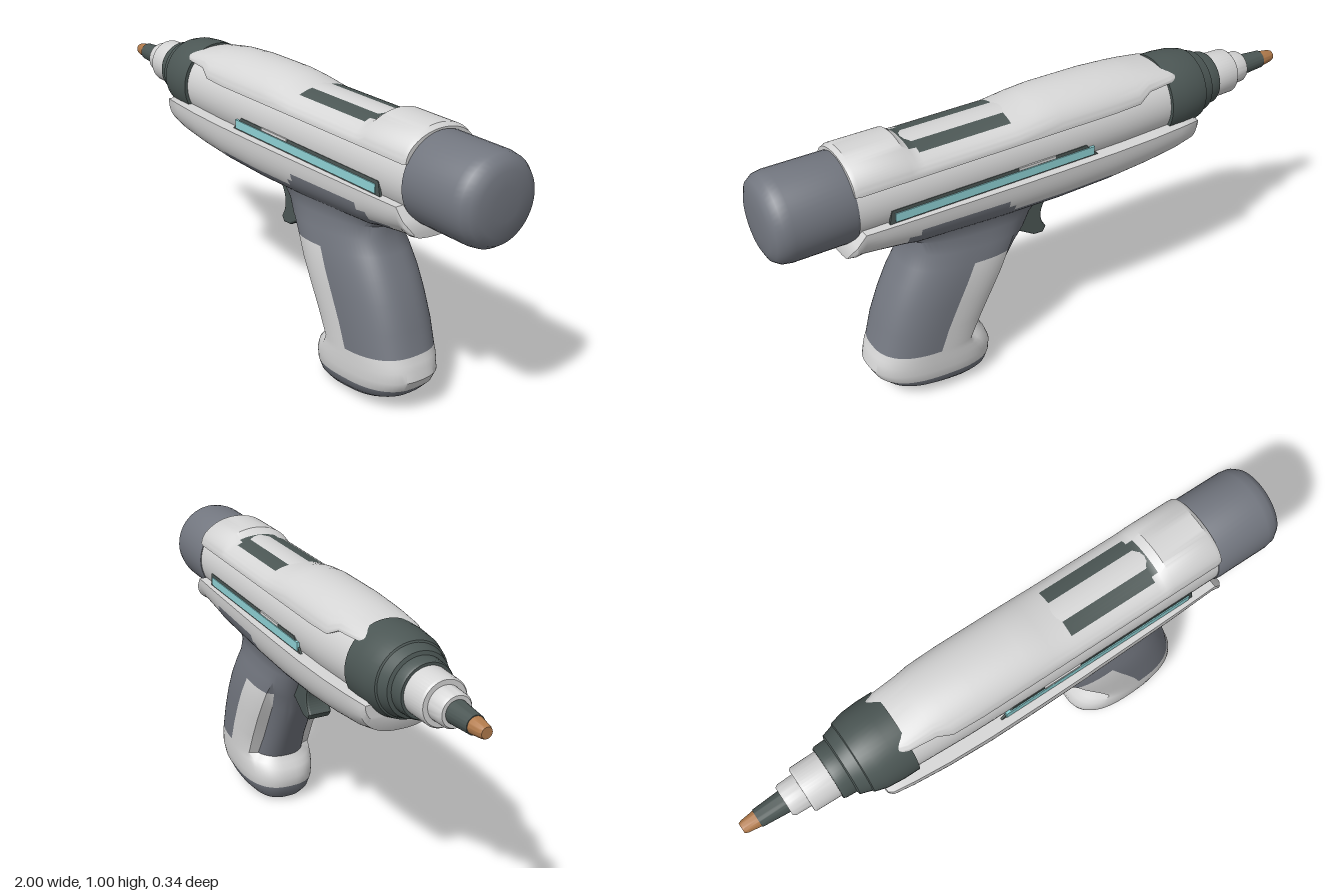
import * as THREE from 'three';
import { toCreasedNormals } from 'three/addons/utils/BufferGeometryUtils.js';

const mat = (name, color) => {
  const m = new THREE.MeshStandardMaterial({ color });
  m.name = name;
  return m;
};
const AXIS = 0.8375; // height of the barrel axis

// Skin a list of closed rings, cap both ends, and pick a material per quad.
function loft(rings, pick = () => 0) {
  const n = rings[0].length;
  const mid = r => {
    const c = r.reduce((a, p) => a.add(p), new THREE.Vector3()).divideScalar(n);
    return r.map(() => c.clone());
  };
  const all = [mid(rings[0]), ...rings, mid(rings[rings.length - 1])];
  const pos = all.flat().flatMap(p => [p.x, p.y, p.z]);
  const lists = [];
  for (let i = 0; i < all.length - 1; i++) {
    const row = Math.min(Math.max(i - 1, 0), rings.length - 2);
    for (let j = 0; j < n; j++) {
      const k = (j + 1) % n, a = i * n + j, b = i * n + k, c = a + n, d = b + n;
      (lists[pick(row, j)] ??= []).push(a, b, d, a, d, c);
    }
  }
  // Signed volume decides which way the corners should run.
  const flat = all.flat();
  let volume = 0;
  for (const l of lists) for (let t = 0; l && t < l.length; t += 3)
    volume += flat[l[t]].dot(flat[l[t + 1]].clone().cross(flat[l[t + 2]]));
  const geo = new THREE.BufferGeometry();
  geo.setAttribute('position', new THREE.Float32BufferAttribute(pos, 3));
  const index = [];
  lists.forEach((l, m) => {
    if (volume < 0) for (let t = 0; t < l.length; t += 3) [l[t], l[t + 1]] = [l[t + 1], l[t]];
    geo.addGroup(index.length, l.length, m);
    index.push(...l);
  });
  geo.setIndex(index);
  return toCreasedNormals(geo, 0.6);
}

// Turn a profile of [x, radius] points about the barrel axis.
function turned(profile) {
  const geo = new THREE.LatheGeometry(profile.map(([x, r]) => new THREE.Vector2(r, x)), 48);
  geo.rotateZ(-Math.PI / 2).translate(0, AXIS, 0);
  return toCreasedNormals(geo, 0.6);
}

const power = (v, e) => Math.sign(v) * Math.abs(v) ** e;

export function createModel() {
  const light = mat('light shell', 0xd6d6d6);
  const gray = mat('blue gray grip', 0x737780);
  const dark = mat('dark green gray', 0x4c5755);
  const copper = mat('copper', 0xb27b4c);
  const cyan = mat('cyan glow', 0x8fd3d6);
  const group = new THREE.Group();
  const add = (name, geo, material) => {
    const mesh = new THREE.Mesh(geo, material);
    mesh.name = name;
    group.add(mesh);
    return mesh;
  };

  // Barrel, from the tip to the rear cap
  add('tip', turned([[-1, 0], [-1, 0.018], [-0.99, 0.022], [-0.94, 0.029], [-0.94, 0]]), copper);
  add('tipHolder', turned([[-0.945, 0], [-0.945, 0.031], [-0.85, 0.038], [-0.85, 0]]), dark);
  add('nozzle', turned([[-0.85, 0], [-0.85, 0.05], [-0.84, 0.056], [-0.787, 0.058], [-0.787, 0.074],
    [-0.78, 0.079], [-0.69, 0.081], [-0.69, 0]]), light);
  add('collar', turned([[-0.692, 0], [-0.692, 0.09], [-0.685, 0.094], [-0.647, 0.096], [-0.643, 0.108],
    [-0.605, 0.12], [-0.602, 0.126], [-0.56, 0.138], [-0.5, 0.143], [-0.445, 0.143], [-0.445, 0]]), dark);
  add('body', turned([[-0.45, 0], [-0.45, 0.131], [-0.25, 0.139], [0, 0.142], [0.73, 0.142], [0.73, 0]]), light);
  add('rearCap', turned([[0.725, 0], [0.725, 0.145], [0.735, 0.148], [0.93, 0.148], [0.96, 0.143],
    [0.982, 0.128], [0.994, 0.1], [0.999, 0.05], [1, 0]]), gray);

  // Top shell: arched sections [x, base height, half width, top], with a dark inset panel
  const shell = [
    [-0.48, 0.935, 0.1, 0.965], [-0.45, 0.933, 0.112, 0.972], [-0.36, 0.93, 0.12, 0.988],
    [-0.31, 0.905, 0.135, 0.996], [-0.2, 0.903, 0.139, 1.003], [0, 0.903, 0.139, 1.003],
    [0.08, 0.903, 0.139, 0.994], [0.165, 0.903, 0.139, 0.977], [0.49, 0.903, 0.139, 0.977],
    [0.515, 0.903, 0.139, 0.98], [0.54, 0.903, 0.139, 1.001], [0.715, 0.903, 0.139, 1.001],
    [0.73, 0.905, 0.136, 0.99],
  ];
  const ARCH = 36;
  add('topShell', loft(shell.map(([x, base, w, top]) =>
    Array.from({ length: ARCH + 1 }, (_, j) => {
      const a = j / ARCH * Math.PI;
      return new THREE.Vector3(x, base + (top - base) * Math.sin(a), w * Math.cos(a));
    })), (i, j) => ((i === 7 && j >= 10 && j < 26) || (i === 8 && j >= 12 && j < 24)) ? 1 : 0), [light, dark]);

  // Cradle under the body: U sections [x, top, bottom, half width, angle of the gray belly]
  const cradle = [
    [-0.565, 0.765, 0.69, 0.135, 0], [-0.55, 0.774, 0.655, 0.148, 0], [-0.48, 0.775, 0.638, 0.157, 0],
    [-0.35, 0.775, 0.624, 0.167, 0], [-0.195, 0.775, 0.612, 0.172, 55], [0, 0.775, 0.606, 0.172, 55],
    [0.19, 0.775, 0.61, 0.17, 65], [0.215, 0.775, 0.61, 0.169, 75], [0.53, 0.775, 0.625, 0.162, 65],
    [0.57, 0.775, 0.635, 0.161, 50], [0.66, 0.775, 0.648, 0.158, 0], [0.715, 0.775, 0.655, 0.156, 0],
    [0.745, 0.738, 0.662, 0.153, 0], [0.77, 0.7, 0.675, 0.13, 0],
  ];
  const SIDE = 36;
  add('cradle', loft(cradle.map(([x, top, bottom, w]) =>
    Array.from({ length: SIDE + 1 }, (_, j) => {
      const a = (j / SIDE - 0.5) * Math.PI;
      return new THREE.Vector3(x, top - (top - bottom) * power(Math.cos(a), 0.85), w * power(Math.sin(a), 0.8));
    })), (i, j) => j < SIDE && Math.abs((j + 0.5) * 5 - 90) < cradle[i][4] ? 1 : 0), [light, gray]);

  // Glowing slots on both sides
  for (const s of [1, -1]) {
    const slot = new THREE.Shape([[-0.14, 0.772], [-0.09, 0.822], [0.62, 0.822], [0.63, 0.772]]
      .map(p => new THREE.Vector2(...p)));
    add('sideSlot', new THREE.ExtrudeGeometry(slot, { depth: 0.008, bevelEnabled: false }), dark)
      .position.z = s * 0.139 - 0.004;
    add('glowStrip', new THREE.BoxGeometry(0.73, 0.03, 0.009), cyan).position.set(0.245, 0.795, s * 0.142);
    add('slotBridge', new THREE.BoxGeometry(0.14, 0.01, 0.009), light).position.set(0.1, 0.818, s * 0.142);
  }

  // Grip: sections [height, front x, rear x, half width, groove scale]
  const grip = [
    [0.012, 0.33, 0.52, 0.06, 1], [0.026, 0.28, 0.6, 0.1, 1], [0.05, 0.258, 0.645, 0.122, 1],
    [0.085, 0.248, 0.678, 0.137, 1], [0.12, 0.245, 0.695, 0.141, 1], [0.155, 0.258, 0.688, 0.142, 1],
    [0.175, 0.275, 0.682, 0.142, 0.95], [0.198, 0.288, 0.672, 0.142, 0.78], [0.28, 0.245, 0.652, 0.142, 0.72],
    [0.37, 0.195, 0.618, 0.142, 0.72], [0.44, 0.155, 0.586, 0.14, 0.74], [0.505, 0.122, 0.55, 0.133, 0.85],
    [0.555, 0.09, 0.525, 0.122, 1], [0.6, 0.06, 0.53, 0.112, 1], [0.635, 0.02, 0.57, 0.113, 1],
    [0.66, -0.02, 0.62, 0.122, 1], [0.71, 0.1, 0.62, 0.14, 1],
  ];
  const RING = 64;
  const along = j => power(Math.cos(j / RING * Math.PI * 2), 2 / 2.6);
  add('grip', loft(grip.map(([y, front, rear, w, groove]) =>
    Array.from({ length: RING }, (_, j) => {
      const u = along(j);
      const z = w * power(Math.sin(j / RING * Math.PI * 2), 2 / 2.6) * (u < -0.64 ? groove : 1);
      const tilt = y < 0.02 ? 0.008 : 0.016;
      return new THREE.Vector3((front + rear) / 2 + u * (rear - front) / 2, y + tilt * u, z);
    })), (i, j) => {
    const u = along(j + 0.5);
    if (i < 3 || i > 10) return 0;
    return i < 7 || (u > -0.68 && u < -0.06) ? 1 : 0;
  }), [gray, light]);

  // Trigger
  const outline = new THREE.Shape();
  outline.moveTo(0.005, 0.62);
  outline.lineTo(0.012, 0.59);
  outline.quadraticCurveTo(0.05, 0.53, 0.012, 0.475);
  outline.lineTo(0.02, 0.462);
  outline.lineTo(0.05, 0.464);
  outline.lineTo(0.125, 0.51);
  outline.lineTo(0.16, 0.62);
  const bevel = { depth: 0.07, bevelSize: 0.008, bevelThickness: 0.01, bevelSegments: 2 };
  add('trigger', new THREE.ExtrudeGeometry(outline, bevel), dark).position.z = -0.035;

  return group;
}
